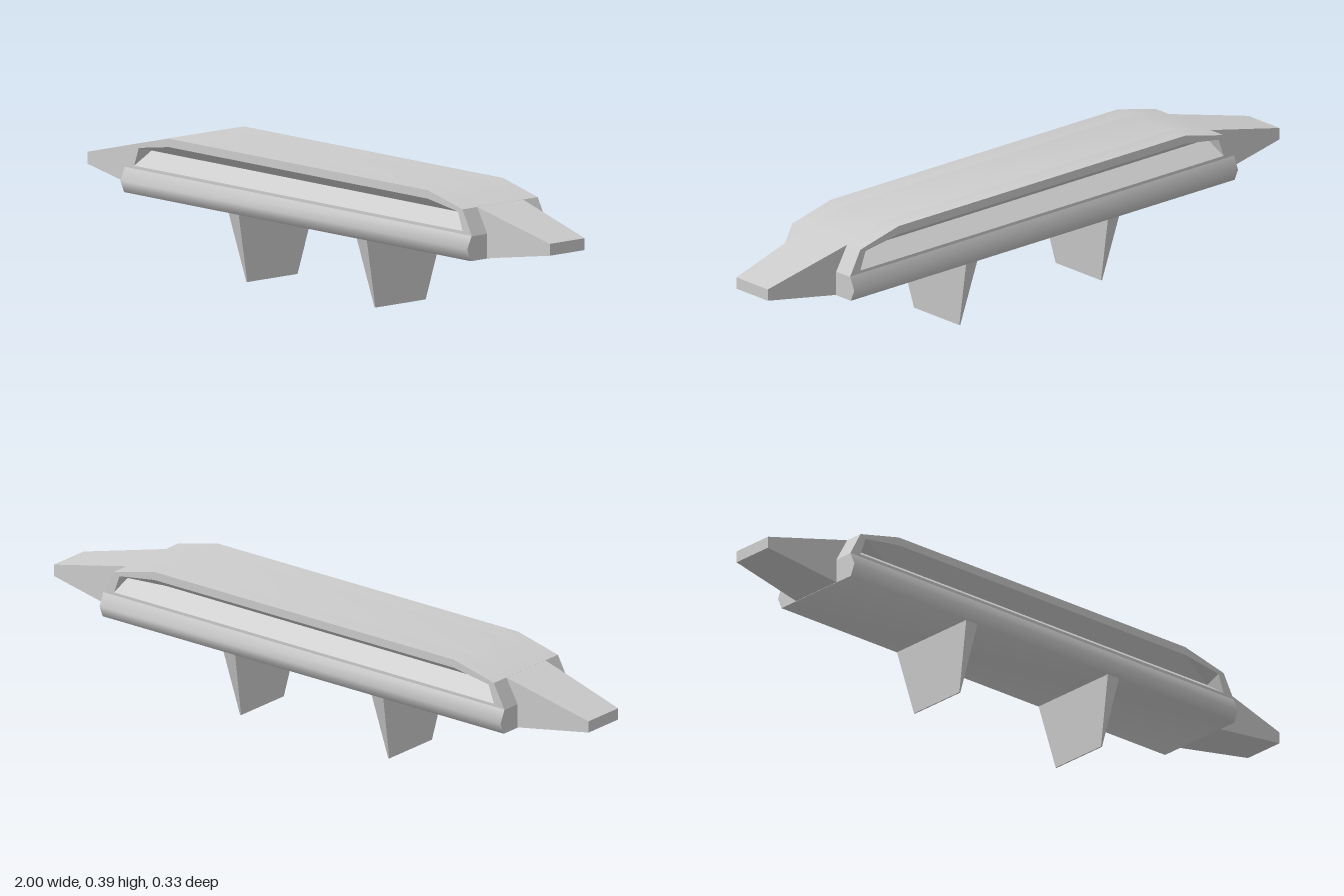
import * as THREE from 'three';
import { toCreasedNormals } from 'three/addons/utils/BufferGeometryUtils.js';

const hull = new THREE.MeshStandardMaterial({ color: 0xcccccc });
hull.name = 'hull grey';

function part(name, geometry, parent) {
  const mesh = new THREE.Mesh(geometry, hull);
  mesh.name = name;
  parent.add(mesh);
  return mesh;
}

function polygon(points) {
  return new THREE.Shape(points.map(([x, y]) => new THREE.Vector2(x, y)));
}

// Adds the mirror image across x = 0 to a list of left-side points
const mirrored = (half) => [...half, ...half.map(([x, y]) => [-x, y]).reverse()];

function extrude(shape, depth, crease) {
  return toCreasedNormals(new THREE.ExtrudeGeometry(shape, { depth, bevelEnabled: false }), crease);
}

function facets(positions, index) {
  let g = new THREE.BufferGeometry();
  g.setAttribute('position', new THREE.Float32BufferAttribute(positions, 3));
  g.setIndex(index);
  g = g.toNonIndexed();
  g.computeVertexNormals();
  return g;
}

// Rectangular sections [x, yMin, yMax, zHalf] joined along x
function loft(sections) {
  const positions = [], index = [];
  for (const [x, y0, y1, z] of sections) {
    positions.push(x, y0, -z, x, y1, -z, x, y1, z, x, y0, z);
  }
  const last = (sections.length - 1) * 4;
  for (let s = 0; s < last; s += 4) {
    for (let i = 0; i < 4; i++) {
      const j = (i + 1) % 4;
      index.push(s + i, s + j, s + 4 + j, s + i, s + 4 + j, s + 4 + i);
    }
  }
  index.push(0, 2, 1, 0, 3, 2, last, last + 1, last + 2, last, last + 2, last + 3);
  return facets(positions, index);
}

export function createModel() {
  const model = new THREE.Group();
  model.name = 'hoverBar';

  const outline = mirrored([[0.75, 0.21], [0.75, 0.28], [0.71, 0.354], [0.56, 0.39]]);
  const opening = mirrored([[0.71, 0.29], [0.69, 0.345], [0.56, 0.365]]);
  const inner = 0.087, outer = 0.147;

  // Central body, cut back at the ends like the side frames
  part('bodyCore', extrude(polygon(outline), inner * 2, 0.4).translate(0, 0, -inner), model);

  // Side frames with a long opening, and the V-shaped recess inside it
  const frameShape = polygon(outline);
  frameShape.holes.push(new THREE.Path(polygon(opening).getPoints()));
  const frame = extrude(frameShape, outer - inner, 0.4).translate(0, 0, inner);

  const rows = [
    [[0.69, 0.345], [0.56, 0.365], outer],
    [[0.696, 0.33], [0.56, 0.33], outer - 0.055],
    [[0.71, 0.29], [0.56, 0.29], outer],
  ];
  const positions = [], index = [];
  rows.forEach(([end, bend, z], r) => {
    for (const [x, y] of [[-end[0], end[1]], [-bend[0], bend[1]], bend, end]) positions.push(x, y, z);
    if (r === 2) return;
    for (let i = 0; i < 3; i++) {
      const a = r * 4 + i;
      index.push(a, a + 4, a + 5, a, a + 5, a + 1);
    }
  });
  const recess = facets(positions, index);

  for (const [side, turn] of [['front', 0], ['back', Math.PI]]) {
    part(side + 'Frame', frame, model).rotation.y = turn;
    part(side + 'Recess', recess, model).rotation.y = turn;
  }

  // Lower hull with smooth bulging rails along both sides
  const rail = polygon(mirrored([[0.15, 0.207], [0.165, 0.242], [0.147, 0.281], [0.12, 0.25]]));
  part('lowerHull', extrude(rail, 1.5, 1.25).translate(0, 0, -0.75).rotateY(Math.PI / 2), model);

  // Tapered end wings
  const wing = loft([
    [0.705, 0.209, 0.355, 0.09],
    [0.75, 0.208, 0.344, 0.087],
    [1, 0.247, 0.282, 0.068],
  ]);
  part('leftWing', wing, model);
  part('rightWing', wing, model).rotation.y = Math.PI;

  // Wedge-shaped fins underneath
  const fin = loft([
    [-0.209, -0.022, 0.022, 0.15],
    [0, -0.002, 0.002, 0.098],
  ]).rotateZ(-Math.PI / 2);
  part('leftFin', fin, model).position.x = 0.277;
  part('rightFin', fin, model).position.x = -0.277;

  return model;
}
